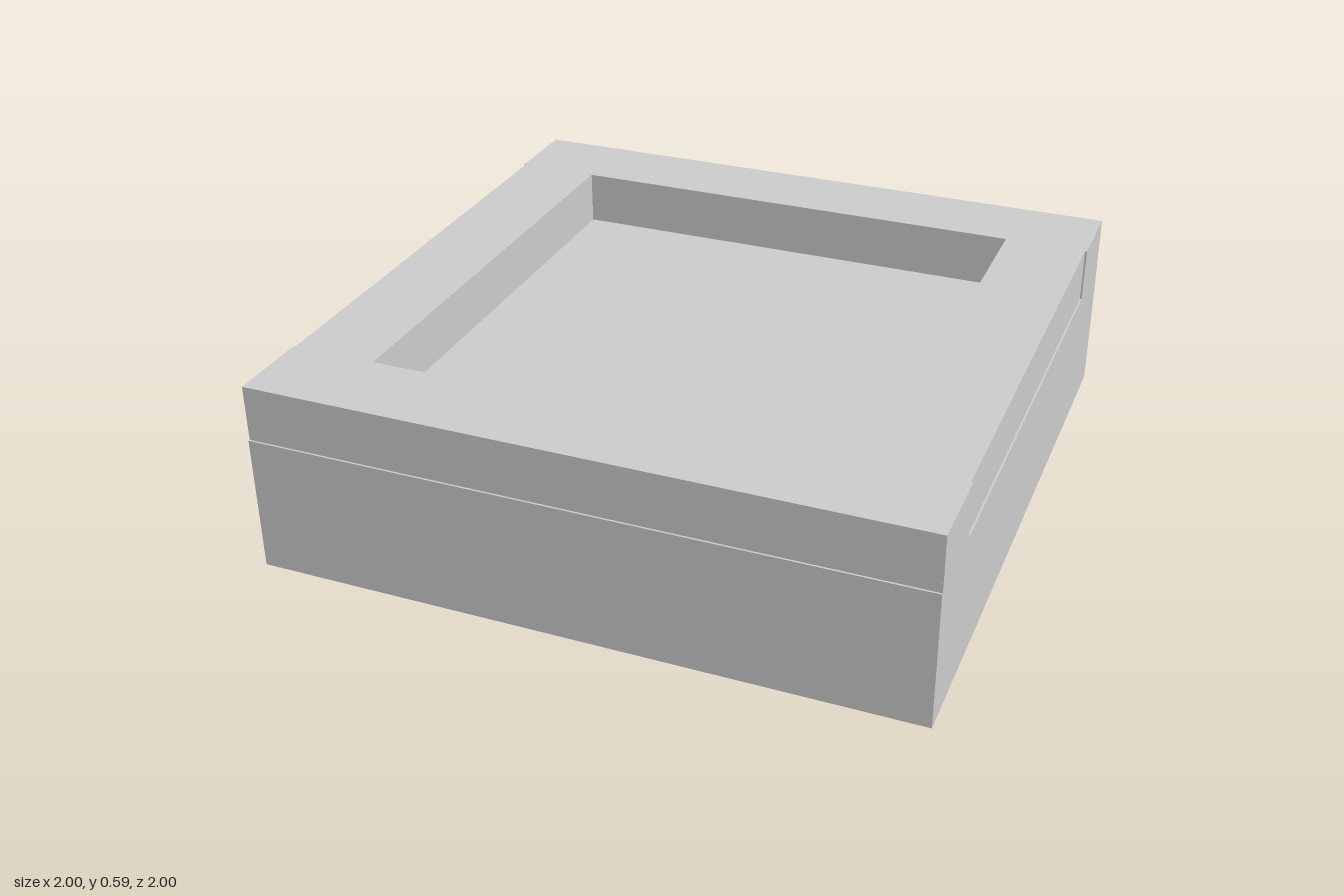
import * as THREE from 'three';

const HEIGHT = 0.59, LEDGE = 0.42, INNER = 0.737, OUTER = 0.994, RIM = 0.005;

export function createModel() {
  const group = new THREE.Group();
  const material = new THREE.MeshStandardMaterial({ color: 0xcccccc, flatShading: true });

  function addBox(name, w, h, d, x, y, z) {
    const mesh = new THREE.Mesh(new THREE.BoxGeometry(w, h, d), material);
    mesh.name = name;
    mesh.position.set(x, y, z);
    group.add(mesh);
  }

  // Solid base block
  addBox('base', 2, LEDGE - RIM, 2, 0, (LEDGE + RIM) / 2, 0);

  // Thin rim under the base, leaving a very shallow square recess
  const square = (r) => [[-r, -r], [r, -r], [r, r], [-r, r]].map(([x, y]) => new THREE.Vector2(x, y));
  const rimShape = new THREE.Shape(square(1));
  rimShape.holes.push(new THREE.Path(square(INNER)));
  const rimGeometry = new THREE.ExtrudeGeometry(rimShape, { depth: RIM, bevelEnabled: false });
  rimGeometry.rotateX(-Math.PI / 2);
  const rim = new THREE.Mesh(rimGeometry, material);
  rim.name = 'bottomRim';
  group.add(rim);

  // Border rails: full-width front and back, shorter sides set slightly in
  const railHeight = HEIGHT - LEDGE;
  const railWidth = OUTER - INNER;
  const mid = (OUTER + INNER) / 2;
  const railY = LEDGE + railHeight / 2;
  for (const s of [1, -1]) {
    addBox(s > 0 ? 'frontRail' : 'backRail', 2, railHeight, railWidth, 0, railY, s * mid);
    addBox(s > 0 ? 'leftRail' : 'rightRail', railWidth, railHeight, 2 * INNER, s * mid, railY, 0);
  }

  return group;
}
